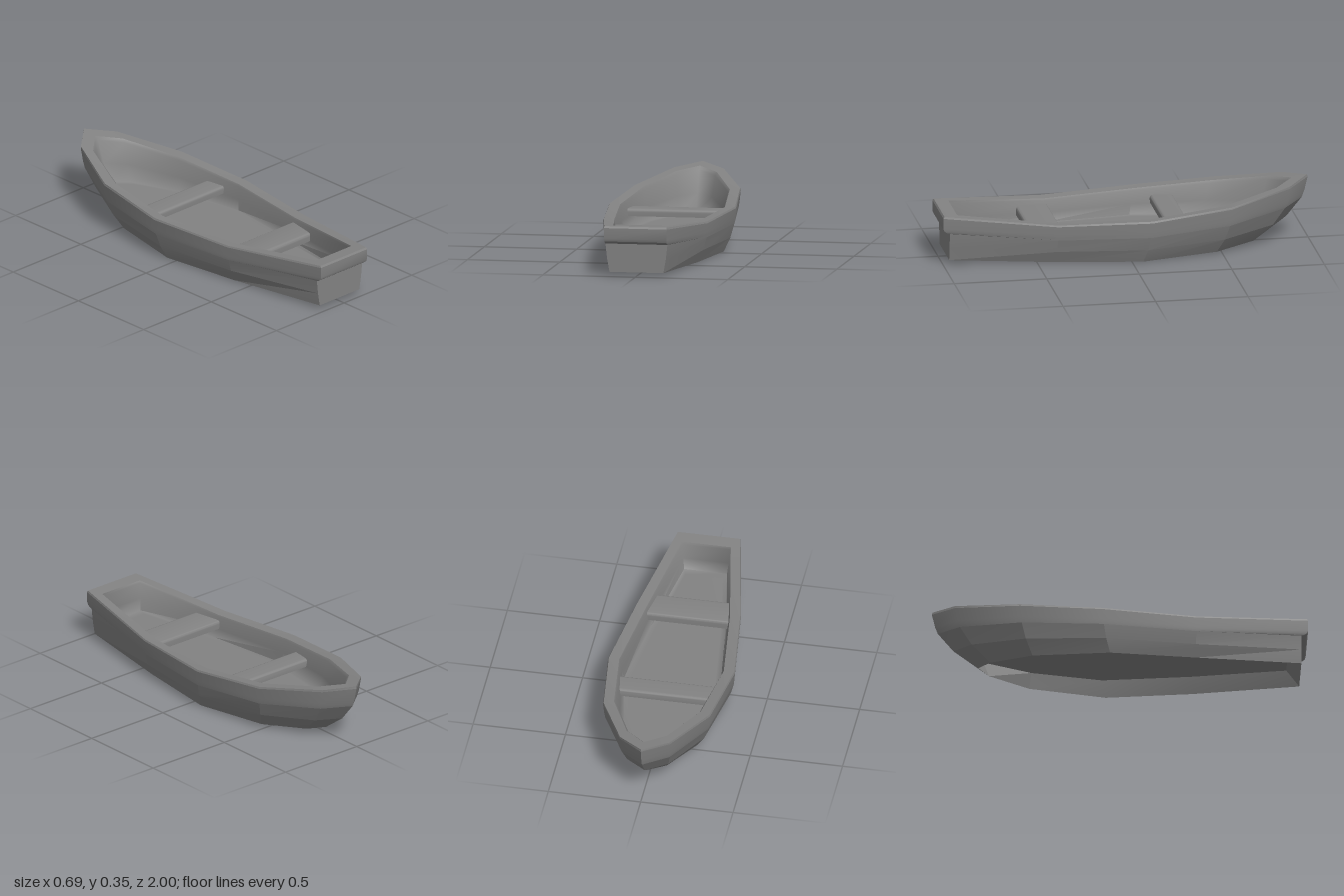
import * as THREE from 'three';
import { toCreasedNormals } from 'three/addons/utils/BufferGeometryUtils.js';

const grey = new THREE.MeshStandardMaterial({ color: 0x828282 });

// Half outlines from stern to bow: [half width, height, z]
const RIM = [[0.171, 0.272, 1], [0.284, 0.226, 0.4], [0.344, 0.239, -0.1],
  [0.29, 0.277, -0.54], [0.136, 0.33, -0.88], [0, 0.352, -1]];
const BOTTOM = [[0.146, 0.023, 0.965], [0.23, 0.007, 0.4], [0.285, 0.002, -0.06],
  [0.21, 0.012, -0.47], [0.085, 0.024, -0.69], [0, 0.03, -0.75]];
const INNER_RIM = [[0.132, 0.267, 0.92], [0.226, 0.222, 0.39], [0.283, 0.235, -0.1],
  [0.235, 0.272, -0.51], [0.11, 0.32, -0.81], [0, 0.338, -0.91]];
const FLOOR = [[0.116, 0.105, 0.895], [0.2, 0.098, 0.39], [0.26, 0.096, -0.08],
  [0.19, 0.1, -0.46], [0.08, 0.105, -0.72], [0, 0.108, -0.79]];

// Outline between a top and a bottom one: t is the drop, f the share of the top's plan
const blend = (top, bottom, t, f, sternZ) => top.map((p, i) => {
  const q = bottom[i];
  const z = q[2] + (p[2] - q[2]) * f;
  return [q[0] + (p[0] - q[0]) * f, p[1] + (q[1] - p[1]) * t, i === 0 && sternZ ? sternZ : z];
});

// Closed ring: left side to the bow, then back along the right side
const ring = (half) => [...half, ...half.slice(0, -1).reverse().map(([x, y, z]) => [-x, y, z])];

// Skin over a stack of outlines; capFirst closes it downwards, capLast upwards
function skin(name, outlines, crease, { capFirst = false, capLast = false } = {}) {
  const layers = outlines.map(ring);
  const n = layers[0].length;
  const pos = [];
  const tri = (a, b, c) => pos.push(...a, ...b, ...c);
  for (let l = 0; l < layers.length - 1; l++) {
    for (let i = 0; i < n; i++) {
      const j = (i + 1) % n;
      const [a, b, c, d] = [layers[l][i], layers[l][j], layers[l + 1][j], layers[l + 1][i]];
      tri(a, b, c);
      tri(a, c, d);
    }
  }
  const cap = (r, up) => {
    const face = (a, b, c) => (up ? tri(a, b, c) : tri(a, c, b));
    for (let i = 0; i < 5; i++) {
      const [l0, l1, r1, r0] = [r[i], r[i + 1], r[n - 2 - i], r[n - 1 - i]];
      if (i < 4) face(l0, l1, r1);
      face(l0, r1, r0);
    }
  };
  if (capFirst) cap(layers[0], false);
  if (capLast) cap(layers[layers.length - 1], true);
  const g = new THREE.BufferGeometry();
  g.setAttribute('position', new THREE.Float32BufferAttribute(pos, 3));
  const mesh = new THREE.Mesh(toCreasedNormals(g, crease), grey);
  mesh.name = name;
  return mesh;
}

// Plank across the boat with rounded upper edges, tapered to the hull
function seat(name, zBack, zFront, wBack, wFront, y, thick) {
  const r = 0.018;
  const a = -zFront, b = -zBack;
  const s = new THREE.Shape();
  s.moveTo(a, y - thick);
  s.lineTo(b, y - thick);
  s.lineTo(b, y - r);
  s.quadraticCurveTo(b, y, b - r, y);
  s.lineTo(a + r, y);
  s.quadraticCurveTo(a, y, a, y - r);
  const g = new THREE.ExtrudeGeometry(s, { depth: 2, bevelEnabled: false, curveSegments: 5 });
  g.translate(0, 0, -1).rotateY(Math.PI / 2);
  const p = g.attributes.position;
  for (let i = 0; i < p.count; i++) {
    const t = (p.getZ(i) - zBack) / (zFront - zBack);
    p.setX(i, p.getX(i) * (wBack + (wFront - wBack) * t));
  }
  const mesh = new THREE.Mesh(toCreasedNormals(g, 0.6), grey);
  mesh.name = name;
  return mesh;
}

export function createModel() {
  const boat = new THREE.Group();
  boat.name = 'rowingBoat';

  // Hollow underside: sloping inner faces up to the raised floor
  const underFloor = FLOOR.map(([x, y, z]) => [x, y - 0.004, z]);
  boat.add(skin('underside', [underFloor, BOTTOM], 0.3, { capFirst: true }));

  // Faceted lower planks
  const lower = blend(RIM, BOTTOM, 0.7, 0.53, 0.965);
  const upper = blend(RIM, BOTTOM, 0.39, 0.86, 0.965);
  boat.add(skin('lowerPlanks', [BOTTOM, lower, upper], 0.15));

  // Top plank, overhanging the transom with a rounded lower edge
  const shoulder = blend(RIM, BOTTOM, 0.04, 0.99, 1);
  boat.add(skin('topPlank', [
    upper,
    blend(RIM, BOTTOM, 0.375, 0.87, 0.978),
    blend(RIM, BOTTOM, 0.33, 0.89, 0.994),
    blend(RIM, BOTTOM, 0.27, 0.92, 1),
    shoulder,
  ], 0.55));

  // Flat rim with a small outer bevel
  const rimEdge = RIM.map(([x, y, z], i) => [x * 0.985, y, z * (i === 0 || i === 5 ? 0.994 : 1)]);
  boat.add(skin('rim', [shoulder, rimEdge, INNER_RIM], 0.5));

  // Inner walls running smoothly into the floor
  boat.add(skin('interior', [
    INNER_RIM,
    blend(INNER_RIM, FLOOR, 0.08, 0.82),
    blend(INNER_RIM, FLOOR, 0.6, 0.45),
    FLOOR,
    FLOOR.map(([x, y, z]) => [x * 0.88, y, z * 0.95]),
  ], 1.4, { capLast: true }));

  boat.add(seat('bowSeat', -0.315, -0.19, 0.262, 0.275, 0.2, 0.04));
  boat.add(seat('sternSeat', 0.37, 0.545, 0.228, 0.2, 0.195, 0.045));
  return boat;
}
